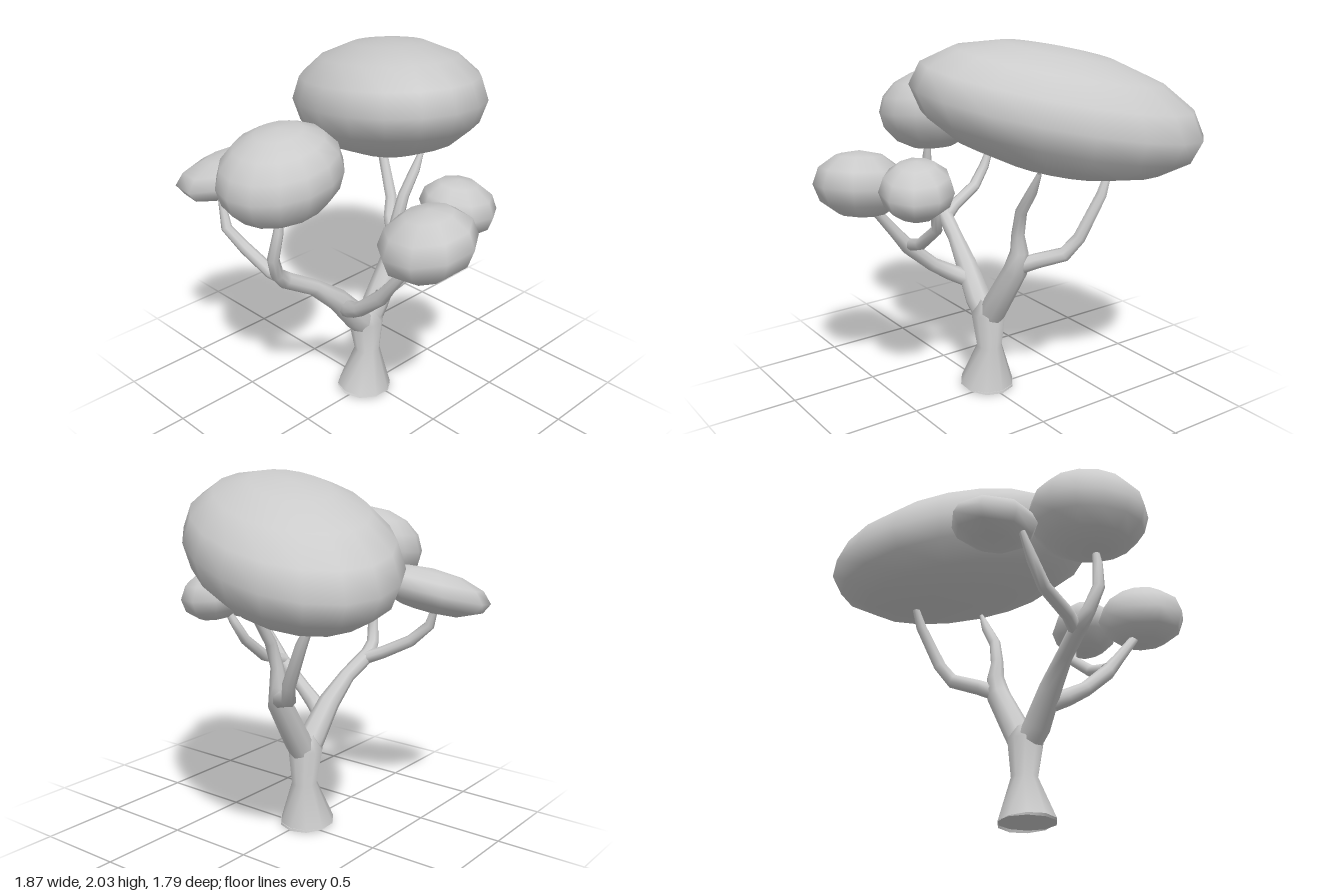
import * as THREE from 'three';

const material = new THREE.MeshStandardMaterial({ color: 0xcccccc, side: THREE.DoubleSide });

// Tapered limb swept through points [x, y, z, radius]
function limb(name, points, sides = 8) {
  const centres = points.map(p => new THREE.Vector3(p[0], p[1], p[2]));
  const normal = new THREE.Vector3(1, 0, 0);
  const positions = [], index = [];
  centres.forEach((c, i) => {
    const before = centres[Math.max(i - 1, 0)];
    const after = centres[Math.min(i + 1, centres.length - 1)];
    const t = after.clone().sub(before).normalize();
    normal.addScaledVector(t, -normal.dot(t)).normalize();
    const binormal = t.clone().cross(normal);
    for (let j = 0; j < sides; j++) {
      const a = (j / sides) * Math.PI * 2;
      const v = c.clone()
        .addScaledVector(normal, Math.cos(a) * points[i][3])
        .addScaledVector(binormal, Math.sin(a) * points[i][3]);
      positions.push(v.x, v.y, v.z);
      if (i < centres.length - 1) {
        const p = i * sides + j, q = i * sides + (j + 1) % sides;
        index.push(p, q, q + sides, p, q + sides, p + sides);
      }
    }
  });
  const geometry = new THREE.BufferGeometry();
  geometry.setAttribute('position', new THREE.Float32BufferAttribute(positions, 3));
  geometry.setIndex(index);
  geometry.computeVertexNormals();
  const mesh = new THREE.Mesh(geometry, material);
  mesh.name = name;
  return mesh;
}

// Flattened leaf cushion; axis is the [x, z] direction of its length,
// slope tilts its rim along x and z
function canopy(name, centre, [long, short, height], axis, slope, segments, rows) {
  const [dx, dz] = new THREE.Vector2(...axis).normalize().toArray();
  const [sx, sz] = slope;
  const rise = (x, z) => x * sx + z * sz;
  const u = new THREE.Vector3(dx * long, rise(dx, dz) * long, dz * long);
  const w = new THREE.Vector3(-dz * short, rise(-dz, dx) * short, dx * short);
  const matrix = new THREE.Matrix4().makeBasis(u, new THREE.Vector3(0, height, 0), w);
  const geometry = new THREE.SphereGeometry(1, segments, rows).applyMatrix4(matrix);
  const mesh = new THREE.Mesh(geometry, material);
  mesh.position.set(...centre);
  mesh.name = name;
  return mesh;
}

export function createModel() {
  const tree = new THREE.Group();
  tree.name = 'tree';

  // Trunk with flared foot
  tree.add(limb('trunk', [
    [-0.045, 0, -0.01, 0.157], [-0.02, 0.24, -0.01, 0.073],
    [-0.03, 0.44, -0.01, 0.1], [-0.03, 0.52, -0.01, 0.045],
  ], 10));
  const base = new THREE.Mesh(new THREE.CircleGeometry(0.157, 10).rotateX(Math.PI / 2), material);
  base.position.set(-0.045, 0, -0.01);
  base.name = 'trunkBase';
  tree.add(base);

  // Left side: bough and its two forks
  tree.add(limb('leftBough', [
    [-0.02, 0.4, -0.01, 0.07], [0.05, 0.52, -0.01, 0.075],
    [0.21, 0.77, -0.02, 0.066], [0.23, 0.88, -0.03, 0.05],
    [0.23, 0.98, -0.02, 0.036], [0.27, 1.12, -0.01, 0.032],
    [0.36, 1.25, -0.01, 0.028], [0.42, 1.36, -0.01, 0.012],
  ]));
  tree.add(limb('leftRearBranch', [
    [0.22, 0.79, -0.03, 0.045], [0.29, 0.83, -0.1, 0.042],
    [0.38, 0.87, -0.22, 0.04], [0.44, 0.97, -0.27, 0.036],
    [0.48, 1.2, -0.38, 0.03], [0.47, 1.36, -0.45, 0.015],
  ]));

  // Right side: bough and its forks
  tree.add(limb('rightBough', [
    [-0.03, 0.4, -0.01, 0.07], [-0.12, 0.5, 0, 0.075],
    [-0.25, 0.66, -0.01, 0.062], [-0.4, 0.79, -0.03, 0.045],
    [-0.57, 0.89, -0.06, 0.046], [-0.63, 0.95, -0.05, 0.036],
    [-0.675, 1.07, -0.02, 0.032], [-0.65, 1.22, 0, 0.027], [-0.63, 1.36, 0, 0.012],
  ]));
  tree.add(limb('rightRearBranch', [
    [-0.53, 0.87, -0.05, 0.04], [-0.59, 0.91, -0.15, 0.036],
    [-0.62, 1.0, -0.32, 0.034], [-0.66, 1.1, -0.42, 0.03], [-0.64, 1.3, -0.49, 0.012],
  ]));
  tree.add(limb('frontBough', [
    [-0.2, 0.59, 0, 0.05], [-0.25, 0.64, 0.1, 0.047],
    [-0.28, 0.7, 0.2, 0.04], [-0.28, 0.84, 0.36, 0.042],
    [-0.29, 0.93, 0.43, 0.033], [-0.29, 1.08, 0.55, 0.026], [-0.28, 1.2, 0.62, 0.012],
  ]));
  tree.add(limb('frontSideBranch', [
    [-0.28, 0.85, 0.35, 0.036], [-0.13, 0.9, 0.37, 0.033],
    [0.04, 1.03, 0.37, 0.03], [0.09, 1.14, 0.41, 0.025], [0.11, 1.25, 0.48, 0.012],
  ]));

  // Leaf cushions
  tree.add(canopy('mainCanopy', [0.33, 1.65, -0.195], [0.765, 0.525, 0.33], [0.547, -0.837], [-0.1, 0.155], 18, 8));
  tree.add(canopy('roundCanopy', [-0.605, 1.52, -0.02], [0.33, 0.31, 0.238], [1, 0], [0.12, 0], 14, 8));
  tree.add(canopy('rearCanopy', [-0.49, 1.34, -0.53], [0.335, 0.22, 0.125], [1, 1], [0.2, 0.15], 8, 6));
  tree.add(canopy('frontCanopy', [-0.26, 1.255, 0.65], [0.25, 0.25, 0.185], [1, 0.3], [0.1, 0.1], 9, 6));
  tree.add(canopy('frontSideCanopy', [0.105, 1.29, 0.525], [0.205, 0.195, 0.15], [1, 0.3], [-0.1, -0.08], 9, 6));

  return tree;
}
